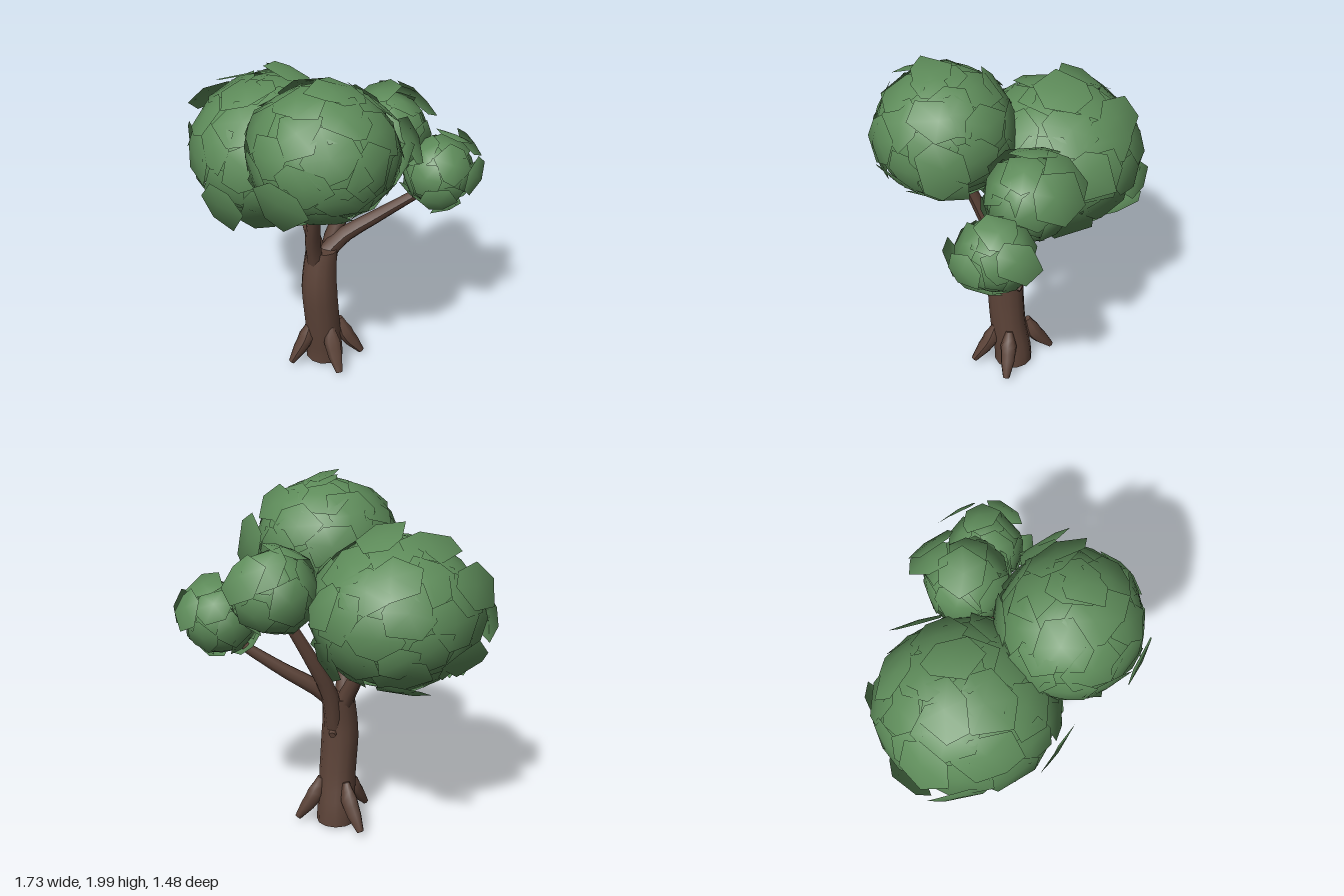
import * as THREE from 'three';
import { mergeGeometries } from 'three/addons/utils/BufferGeometryUtils.js';

const V = (a) => new THREE.Vector3(...a);

// small seeded generator
let seed = 7;
function rnd() {
  seed = (seed * 16807) % 2147483647;
  return seed / 2147483647;
}

// tapered limb along a smooth path; radii are spread evenly from start to end
function limb(points, radii, sides, rows = 8) {
  const curve = new THREE.CatmullRomCurve3(points.map(V));
  const geo = new THREE.TubeGeometry(curve, rows, 1, sides, false);
  const pos = geo.attributes.position, p = new THREE.Vector3();
  for (let i = 0; i < pos.count; i++) {
    const t = Math.floor(i / (sides + 1)) / rows;
    const c = curve.getPointAt(t);
    const f = t * (radii.length - 1), k = Math.min(Math.floor(f), radii.length - 2);
    const r = THREE.MathUtils.lerp(radii[k], radii[k + 1], f - k);
    p.fromBufferAttribute(pos, i).sub(c).multiplyScalar(r).add(c);
    pos.setXYZ(i, p.x, p.y, p.z);
  }
  geo.computeVertexNormals();
  // close both ends with flat fans that face out of the limb
  const ends = [0, rows].map((row) => {
    const ring = [];
    for (let j = 0; j < sides; j++) ring.push(new THREE.Vector3().fromBufferAttribute(pos, row * (sides + 1) + j));
    const c = curve.getPointAt(row / rows), pts = [];
    ring.forEach((a, j) => pts.push(c, a, ring[(j + 1) % sides]));
    const out = curve.getTangentAt(row / rows).multiplyScalar(row ? 1 : -1);
    const facing = ring[0].clone().sub(c).cross(ring[1].clone().sub(c)).dot(out);
    const cap = new THREE.BufferGeometry().setFromPoints(facing < 0 ? pts.reverse() : pts);
    cap.computeVertexNormals();
    return cap;
  });
  geo.deleteAttribute('uv');
  return mergeGeometries([geo.toNonIndexed(), ...ends]);
}

// one irregular six-sided leaf plate, shaded like the rounded clump, with one edge lifted
function leafPlate(center, radii, dir, size, lift, tilt) {
  const d = dir.clone().normalize();
  const t1 = new THREE.Vector3(0.31, 0.9, 0.27).cross(d).normalize();
  const t2 = d.clone().cross(t1);
  const phase = rnd() * Math.PI * 2, n = 6;
  const pts = [d.clone().multiplyScalar(1 + lift)];
  for (let k = 0; k < n; k++) {
    const a = phase + ((k + (rnd() - 0.5) * 0.5) / n) * Math.PI * 2;
    const r = size * (0.8 + 0.4 * rnd());
    const u = d.clone().addScaledVector(t1, Math.cos(a) * r).addScaledVector(t2, Math.sin(a) * r);
    u.setLength(Math.sqrt(u.length()));
    pts.push(u.multiplyScalar(1 + lift + tilt * Math.cos(a - phase)));
  }
  const normals = pts.flatMap((p) => p.clone().divide(radii).normalize().toArray());
  const geo = new THREE.BufferGeometry().setFromPoints(pts.map((p) => p.multiply(radii).add(center)));
  geo.setAttribute('normal', new THREE.Float32BufferAttribute(normals, 3));
  const index = [];
  for (let k = 0; k < n; k++) index.push(0, k + 1, ((k + 1) % n) + 1);
  return geo.setIndex(index);
}

// rounded core, covering plates, and loose leaves at given places
function clumpGeometry({ center, radii, plates, size, loose }) {
  const c = V(center), r = V(radii);
  const core = new THREE.SphereGeometry(0.99, 18, 14).scale(...radii).translate(...center);
  core.deleteAttribute('uv');
  const parts = [core];
  for (let i = 0; i < plates; i++) {
    const y = 1 - (2 * (i + 0.5)) / plates, a = i * 2.39996, h = Math.sqrt(1 - y * y);
    parts.push(leafPlate(c, r, new THREE.Vector3(Math.cos(a) * h, y, Math.sin(a) * h),
      size, rnd() * 0.02, 0.01 + rnd() * 0.03));
  }
  for (const place of loose) {
    const d = V(place).sub(c).divide(r);
    parts.push(leafPlate(c, r, d, size * 0.85, d.length() - 1, 0.09));
  }
  return mergeGeometries(parts);
}

export function createModel() {
  const tree = new THREE.Group();
  const bark = new THREE.MeshStandardMaterial({ color: 0x5c4338 });
  bark.name = 'bark brown';
  const green = new THREE.MeshStandardMaterial({ color: 0x5e8c5a, side: THREE.DoubleSide });
  green.name = 'leaf green';
  const add = (name, geo, mat) => {
    const mesh = new THREE.Mesh(geo, mat);
    mesh.name = name;
    tree.add(mesh);
  };

  // bent trunk
  add('trunk', limb([[-0.01, 0.005, -0.097], [-0.01, 0.06, -0.095], [-0.015, 0.28, -0.06], [-0.03, 0.58, -0.038],
    [-0.02, 0.8, -0.06]], [0.115, 0.107, 0.108, 0.092], 12, 12), bark);

  // roots leaning against the foot of the trunk
  const tips = [[0.215, 0.03, -0.13], [0.125, 0.03, 0.11], [-0.18, 0.03, 0.07], [-0.16, 0.03, -0.29]];
  for (const [x, y, z] of tips) {
    const at = (f, h) => [-0.01 + (x + 0.01) * f, h, -0.08 + (z + 0.08) * f];
    add('root', limb([at(0.4, 0.285), at(0.55, 0.18), at(1, y)], [0.02, 0.05, 0.042, 0.02], 7, 6), bark);
  }

  // branches, one to each clump
  add('frontBranch', limb([[-0.045, 0.7, -0.02], [-0.05, 0.86, 0.03], [-0.03, 1.06, 0.11], [0.03, 1.4, 0.23]],
    [0.05, 0.045, 0.035, 0.027], 8), bark);
  add('rearLeftBranch', limb([[-0.03, 0.7, -0.07], [-0.09, 0.86, -0.12], [-0.18, 1.05, -0.2], [-0.28, 1.2, -0.24]],
    [0.055, 0.045, 0.036, 0.028], 8), bark);
  add('rearRightBranch', limb([[0, 0.62, -0.09], [0.03, 0.85, -0.15], [0.12, 1.07, -0.22], [0.3, 1.42, -0.29]],
    [0.055, 0.048, 0.038, 0.028], 8), bark);
  add('sideBranch', limb([[-0.01, 0.74, -0.07], [0.08, 0.85, -0.12], [0.28, 0.99, -0.17], [0.56, 1.19, -0.21]],
    [0.055, 0.046, 0.036, 0.026], 8), bark);
  add('branchStub', limb([[0.0, 0.6, -0.08], [0.01, 0.58, -0.15]], [0.035, 0.02], 6, 2), bark);

  // foliage clumps
  const clumps = {
    largeClump: {
      center: [-0.335, 1.36, -0.22], radii: [0.455, 0.395, 0.475], plates: 48, size: 0.36,
      loose: [[-0.83, 1.33, -0.2], [-0.74, 1.57, -0.4], [-0.5, 1.75, -0.3], [-0.52, 1.22, 0.28], [-0.33, 0.945, -0.22],
        [0.04, 1.14, -0.42], [-0.3, 1.66, -0.57], [-0.35, 1.06, -0.62], [-0.2, 0.98, -0.02], [-0.7, 1.1, -0.15],
        [-0.35, 1.25, -0.71], [-0.25, 1.79, -0.3], [-0.7, 1.2, -0.52], [-0.3, 1.13, 0.19], [0.04, 1.13, -0.1],
        [0.05, 1.5, -0.52]],
    },
    topClump: {
      center: [0.06, 1.61, 0.28], radii: [0.385, 0.35, 0.375], plates: 38, size: 0.4,
      loose: [[0.12, 1.97, 0.32], [0.49, 1.66, 0.1], [0.35, 1.85, 0.18], [-0.08, 1.5, 0.67], [0, 1.94, 0.42],
        [0.46, 1.5, 0.14], [-0.2, 1.84, 0.15], [0.24, 1.65, 0.6]],
    },
    rearClump: {
      center: [0.31, 1.47, -0.28], radii: [0.22, 0.215, 0.22], plates: 16, size: 0.6,
      loose: [[0.47, 1.62, -0.47], [0.34, 1.68, -0.47], [0.24, 1.72, -0.28], [0.44, 1.38, -0.1], [0.2, 1.58, -0.1]],
    },
    sideClump: {
      center: [0.61, 1.305, -0.21], radii: [0.19, 0.185, 0.195], plates: 16, size: 0.6,
      loose: [[0.83, 1.34, -0.12], [0.77, 1.42, -0.38], [0.69, 1.51, -0.26], [0.68, 1.11, -0.16], [0.64, 1.22, 0.01],
        [0.48, 1.15, -0.18]],
    },
  };
  for (const [name, clump] of Object.entries(clumps)) add(name, clumpGeometry(clump), green);
  return tree;
}
